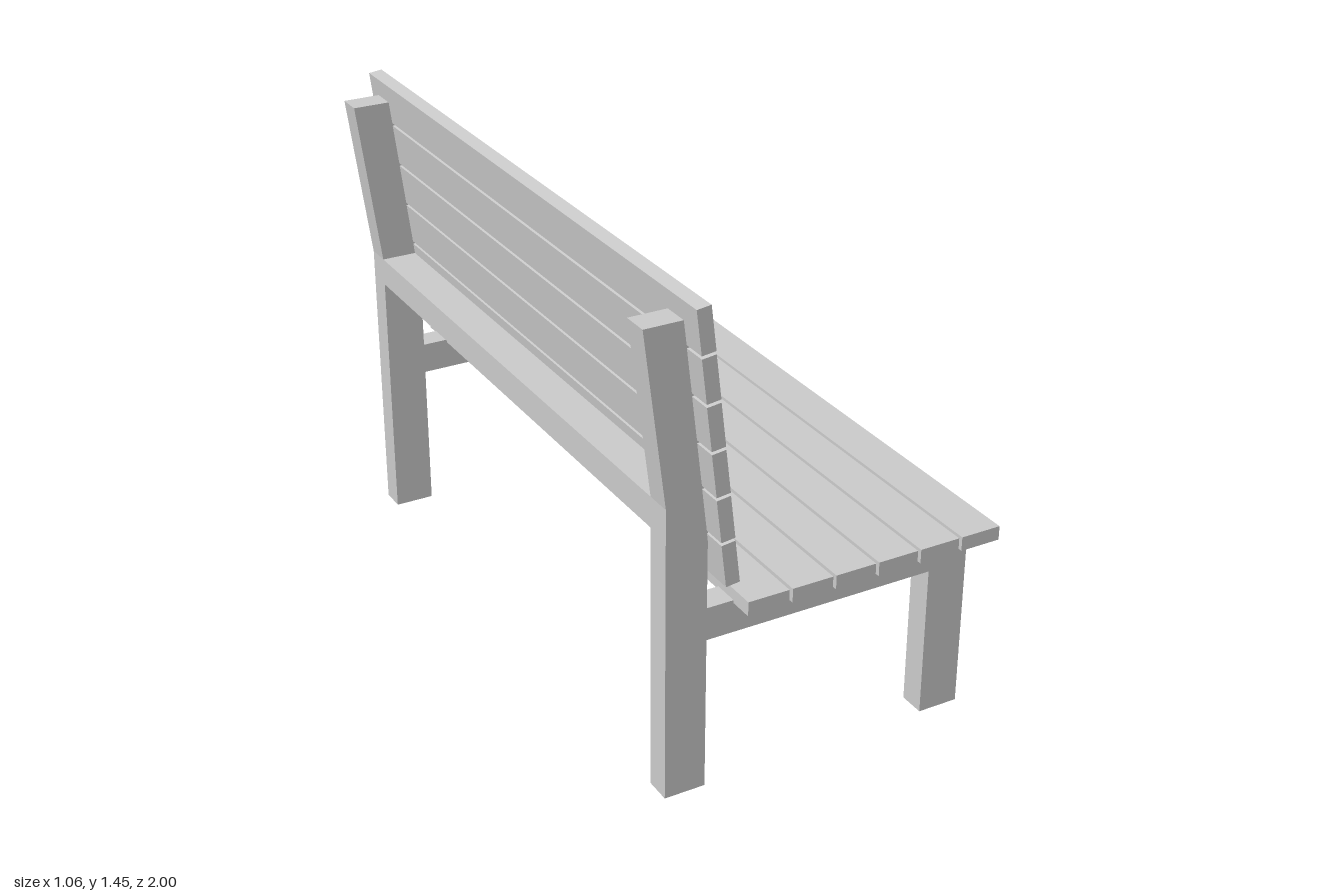
import * as THREE from 'three';

const material = new THREE.MeshStandardMaterial({ color: 0xcccccc, flatShading: true });

// Box given by its extents on each axis
function box(name, [x0, x1], [y0, y1], [z0, z1]) {
  const mesh = new THREE.Mesh(new THREE.BoxGeometry(x1 - x0, y1 - y0, z1 - z0), material);
  mesh.position.set((x0 + x1) / 2, (y0 + y1) / 2, (z0 + z1) / 2);
  mesh.name = name;
  return mesh;
}

// Prism with a side outline in x, y running from z0 to z1
function prism(name, points, z0, z1) {
  const shape = new THREE.Shape(points.map(([x, y]) => new THREE.Vector2(x, y)));
  const geometry = new THREE.ExtrudeGeometry(shape, { depth: z1 - z0, bevelEnabled: false });
  const mesh = new THREE.Mesh(geometry, material);
  mesh.position.z = z0;
  mesh.name = name;
  return mesh;
}

export function createModel() {
  const bench = new THREE.Group();
  bench.name = 'bench';

  // Two end frames: bent rear leg, front leg and seat bearer in one outline
  const outline = [
    [-0.467, 0], [-0.345, 0], [-0.345, 0.46], [0.356, 0.46], [0.356, 0],
    [0.479, 0], [0.479, 0.557], [-0.345, 0.557], [-0.345, 0.88],
    [-0.41, 1.387], [-0.532, 1.387], [-0.467, 0.88],
  ];
  const frames = [['leftEndFrame', 0.85, 0.928], ['rightEndFrame', -0.949, -0.871]];
  for (const [name, z0, z1] of frames) bench.add(prism(name, outline, z0, z1));

  // Rails joining the end frames
  const span = [-0.871, 0.85];
  bench.add(box('backRail', [-0.467, -0.345], [0.795, 0.88], span));
  bench.add(box('frontRail', [0.356, 0.479], [0.5, 0.521], span));

  // Seat slats
  const seat = new THREE.Group();
  seat.name = 'seat';
  for (let i = 0; i < 6; i++) {
    const x = -0.203 + i * 0.1342;
    seat.add(box('seatSlat', [x - 0.062, x + 0.062], [0.548, 0.59], [-1, 1]));
  }
  bench.add(seat);

  // Leaning backrest slats
  const backrest = new THREE.Group();
  backrest.name = 'backrest';
  for (let i = 0; i < 6; i++) {
    const slat = new THREE.Mesh(new THREE.BoxGeometry(0.041, 0.125, 2), material);
    slat.name = 'backSlat';
    slat.position.set(-0.32 - i * 0.0158, 0.72 + i * 0.1328, 0);
    slat.rotation.z = 0.122;
    backrest.add(slat);
  }
  bench.add(backrest);

  return bench;
}
